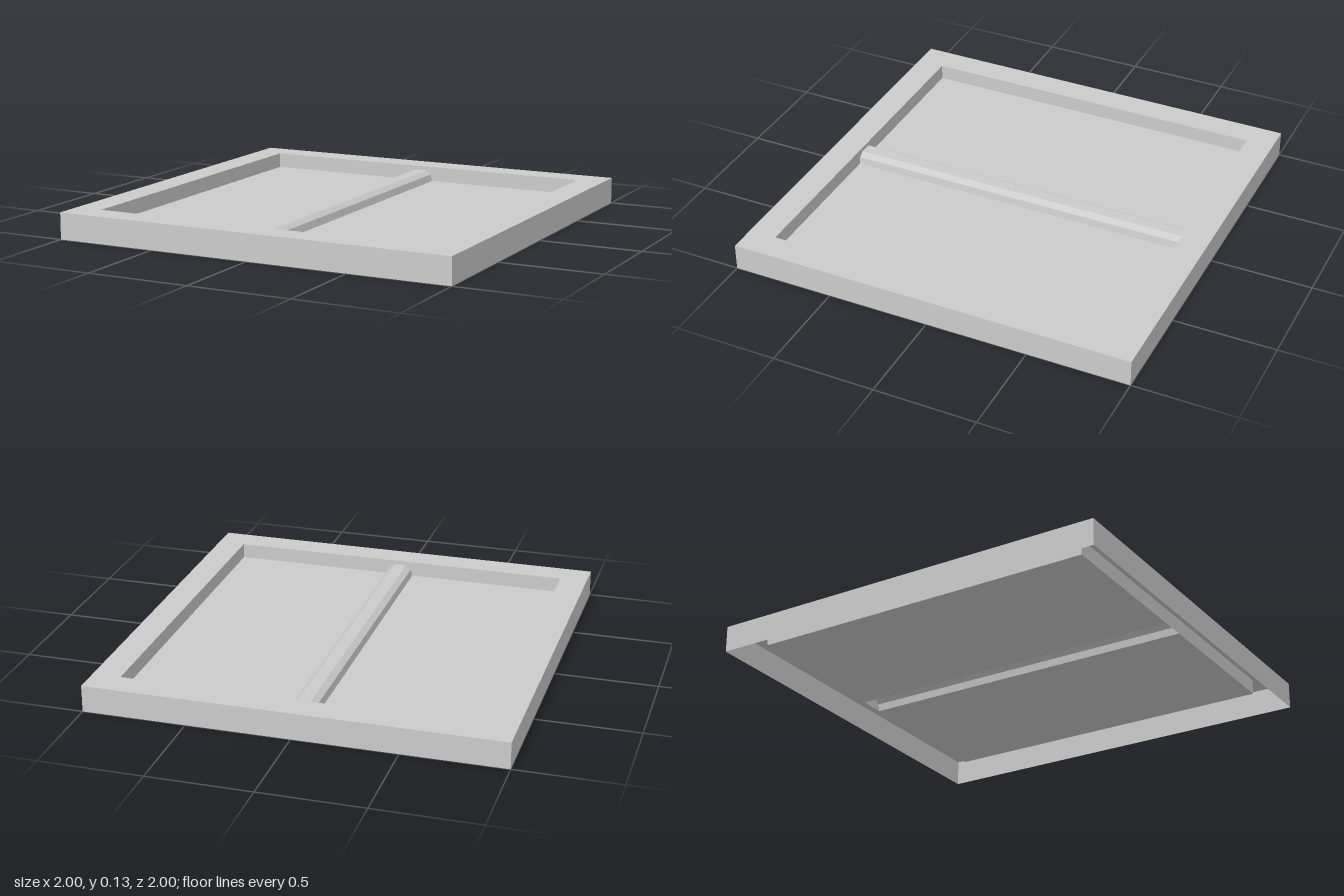
import * as THREE from 'three';

const TOP = 0.13;      // rim height
const FLOOR = 0.055;   // tray floor height
const INNER = 0.863;   // half size of the recess

const material = new THREE.MeshStandardMaterial({
  color: 0xcccccc, flatShading: true, side: THREE.DoubleSide,
});

function part(name, geometry) {
  const mesh = new THREE.Mesh(geometry, material);
  mesh.name = name;
  return mesh;
}

// Open square tube of four thin walls
function squareWalls(half, bottom, top) {
  const r = half * Math.SQRT2;
  return new THREE.CylinderGeometry(r, r, top - bottom, 4, 1, true)
    .rotateY(Math.PI / 4)
    .translate(0, (top + bottom) / 2, 0);
}

function square(PathType, h) {
  return new PathType([[-h, -h], [h, -h], [h, h], [-h, h]].map(([x, y]) => new THREE.Vector2(x, y)));
}

export function createModel() {
  const group = new THREE.Group();
  group.name = 'tray';

  // Outer skirt, open underneath
  group.add(part('outerWalls', squareWalls(1, 0, TOP)));

  // Flat rim around the recess
  const rim = square(THREE.Shape, 1);
  rim.holes.push(square(THREE.Path, INNER));
  group.add(part('rim', new THREE.ShapeGeometry(rim).rotateX(-Math.PI / 2).translate(0, TOP, 0)));

  // Recess walls
  group.add(part('recessWalls', squareWalls(INNER, FLOOR, TOP)));

  // Thin floor with a raised, chamfered, hollow ridge from back to front
  const profile = [
    [-INNER, FLOOR], [-0.075, FLOOR], [-0.068, 0.09], [-0.04, 0.11],
    [0.02, 0.11], [0.046, 0.09], [0.053, FLOOR], [INNER, FLOOR],
  ];
  const floor = new THREE.PlaneGeometry(2, 2 * INNER, profile.length - 1, 1).rotateX(-Math.PI / 2);
  const pos = floor.attributes.position;
  for (let i = 0; i < pos.count; i++) {
    const [x, y] = profile[i % profile.length];
    pos.setXYZ(i, x, y, pos.getZ(i));
  }
  floor.computeVertexNormals();
  group.add(part('floorWithRidge', floor));

  return group;
}
